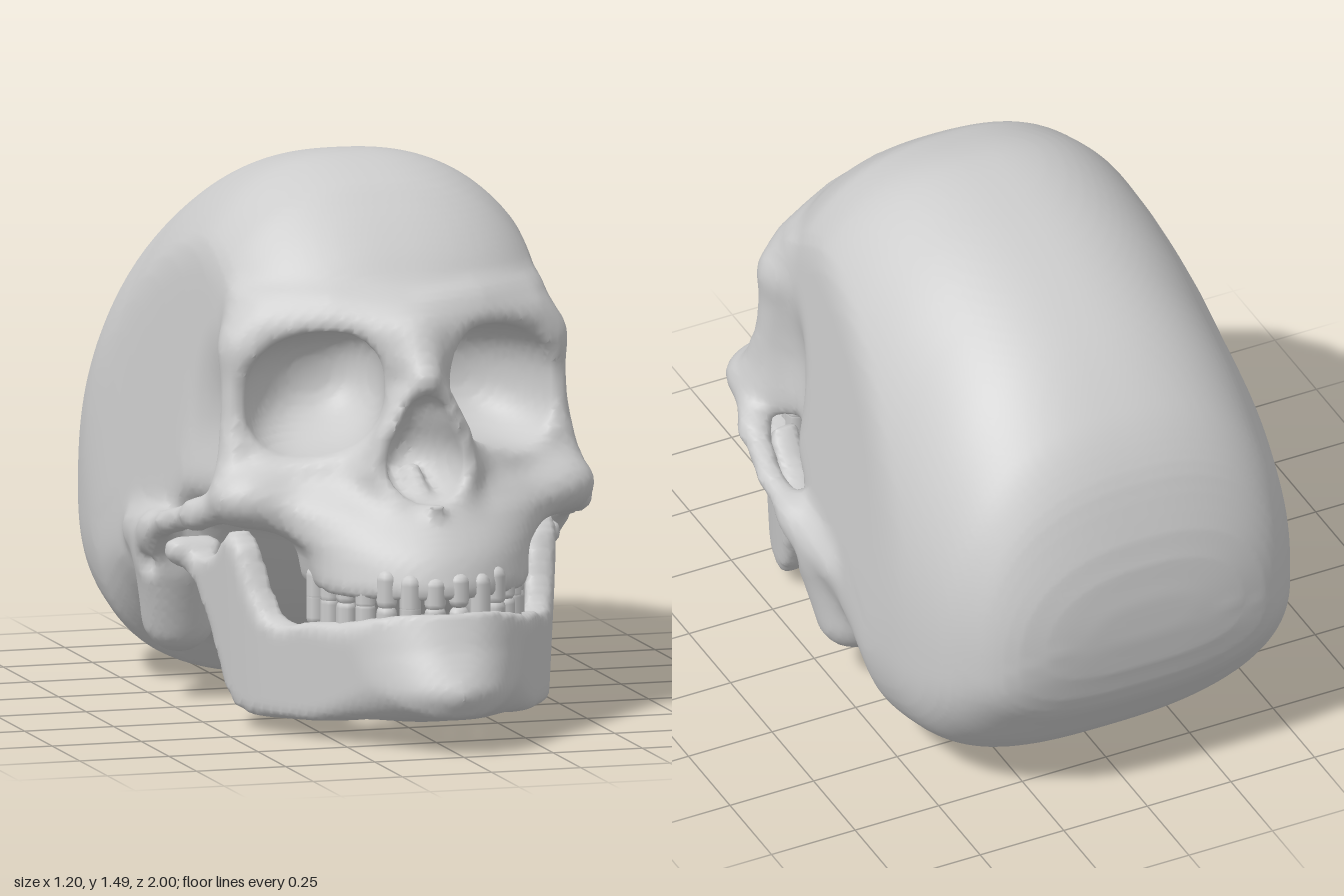
import * as THREE from 'three';

// ---- sculpting helpers: each form is a signed distance, negative inside ----
const smin = (a, b, k) => Math.min(a, b) - Math.max(k - Math.abs(a - b), 0) ** 2 / (4 * k);
const smax = (a, b, k) => -smin(-a, -b, k);
const carve = (a, b, k) => smax(a, -b, k);
const { lerp, smoothstep } = THREE.MathUtils;

// Smooth monotone curve through [t, value] keys
function curve(keys) {
  const last = keys.length - 1;
  const d = keys.slice(1).map((k, i) => (k[1] - keys[i][1]) / (k[0] - keys[i][0]));
  const m = keys.map((k, i) => {
    if (i === 0) return d[0];
    if (i === last) return d[last - 1];
    return d[i - 1] * d[i] <= 0 ? 0 : (2 * d[i - 1] * d[i]) / (d[i - 1] + d[i]);
  });
  return t => {
    if (t <= keys[0][0]) return keys[0][1];
    if (t >= keys[last][0]) return keys[last][1];
    let i = 0;
    while (t > keys[i + 1][0]) i++;
    const h = keys[i + 1][0] - keys[i][0], s = (t - keys[i][0]) / h, r = 1 - s;
    return keys[i][1] * (1 + 2 * s) * r * r + m[i] * h * s * r * r
      + keys[i + 1][1] * s * s * (3 - 2 * s) - m[i + 1] * h * s * s * r;
  };
}

// Round bar along a chain of points
const bar = (r, ...pts) => (x, y, z) => {
  let best = 9;
  for (let i = 1; i < pts.length; i++) {
    const [ax, ay, az] = pts[i - 1], [bx, by, bz] = pts[i];
    const ux = bx - ax, uy = by - ay, uz = bz - az, px = x - ax, py = y - ay, pz = z - az;
    const t = Math.min(1, Math.max(0, (px * ux + py * uy + pz * uz) / (ux * ux + uy * uy + uz * uz)));
    best = Math.min(best, Math.hypot(px - t * ux, py - t * uy, pz - t * uz));
  }
  return best - r;
};

const blob = (cx, cy, cz, rx, ry, rz) => (x, y, z) =>
  (Math.hypot((x - cx) / rx, (y - cy) / ry, (z - cz) / rz) - 1) * Math.min(rx, ry, rz);

// Signed distance to a closed 2D outline
const outline = pts => (u, v) => {
  let best = 9, inside = false;
  pts.forEach(([ax, ay], i) => {
    const [bx, by] = pts[(i + 1) % pts.length];
    const ex = bx - ax, ey = by - ay, px = u - ax, py = v - ay;
    const t = Math.min(1, Math.max(0, (px * ex + py * ey) / (ex * ex + ey * ey)));
    best = Math.min(best, Math.hypot(px - t * ex, py - t * ey));
    if ((ay > v) !== (by > v) && u < ax + (ex * (v - ay)) / ey) inside = !inside;
  });
  return inside ? -best : best;
};

// Turn a distance function into a smooth mesh (surface nets); x is mirrored
function sculpt(form, lo, hi, cell) {
  const n = lo.map((l, i) => Math.ceil((hi[i] - l) / cell) + 1);
  const step = [1, n[0], n[0] * n[1]];
  const val = new Float32Array(n[0] * n[1] * n[2]), vert = new Int32Array(val.length);
  const each = (from, trim, fn) => {
    for (let k = from; k < n[2] - trim; k++)
      for (let j = from; j < n[1] - trim; j++)
        for (let i = from; i < n[0] - trim; i++) fn(i, j, k, i + j * step[1] + k * step[2]);
  };
  each(0, 0, (i, j, k, id) => {
    val[id] = form(Math.abs(lo[0] + i * cell), lo[1] + j * cell, lo[2] + k * cell);
  });
  const pos = [], index = [];
  const offset = c => (c & 1) * step[0] + ((c >> 1) & 1) * step[1] + (c >> 2) * step[2];
  each(0, 1, (i, j, k, id) => {
    let count = 0;
    const sum = [0, 0, 0];
    for (let a = 0; a < 8; a++) for (let axis = 0; axis < 3; axis++) {
      if (a & (1 << axis)) continue;
      const va = val[id + offset(a)], vb = val[id + offset(a) + step[axis]];
      if ((va < 0) === (vb < 0)) continue;
      for (let q = 0; q < 3; q++) sum[q] += (a >> q) & 1;
      sum[axis] += va / (va - vb);
      count++;
    }
    if (!count) return;
    vert[id] = pos.length / 3;
    [i, j, k].forEach((g, q) => pos.push(lo[q] + (g + sum[q] / count) * cell));
  });
  each(1, 1, (i, j, k, id) => {
    for (let axis = 0; axis < 3; axis++) {
      const inside = val[id] < 0;
      if (inside === (val[id + step[axis]] < 0)) continue;
      const u = step[(axis + 1) % 3], v = step[(axis + 2) % 3];
      const [a, b, c, d] = [id - u - v, id - v, id, id - u].map(q => vert[q]);
      index.push(...(inside ? [a, b, c, a, c, d] : [a, c, b, a, d, c]));
    }
  });
  const g = new THREE.BufferGeometry();
  g.setAttribute('position', new THREE.Float32BufferAttribute(pos, 3));
  g.setIndex(index);
  g.computeVertexNormals();
  return g;
}

// ---- braincase: rounded sections along z ----
const topY = curve([[-1, .7], [-.985, .81], [-.95, .92], [-.9, 1.04], [-.8, 1.17], [-.6, 1.32], [-.4, 1.41],
  [-.2, 1.465], [0, 1.49], [.2, 1.445], [.3, 1.38], [.4, 1.29], [.5, 1.17], [.58, 1.08]]);
const baseY = curve([[-1, .54], [-.985, .44], [-.95, .34], [-.9, .27], [-.8, .15], [-.7, .07], [-.6, .03],
  [-.46, 0], [-.4, .04], [-.33, .1], [-.2, .17], [-.08, .27], [.02, .38], [.1, .47], [.25, .53], [.6, .6]]);
const halfW = curve([[-1, .2], [-.985, .32], [-.95, .41], [-.9, .465], [-.8, .525], [-.6, .57], [-.4, .582],
  [-.2, .582], [0, .56], [.2, .52], [.3, .49], [.4, .43], [.5, .28], [.56, .15]]);

function braincase(x, y, z) {
  const top = topY(z), base = baseY(z), w = halfW(z), mid = lerp(base, top, .33);
  const h = y > mid ? top - mid : mid - base, p = y > mid ? 2.4 : 2.7;
  const r = ((x / w) ** p + (Math.abs(y - mid) / h) ** p) ** (1 / p);
  let d = (r - 1) * Math.min(w, h) * .8;
  d = smax(d, x - (.47 - .1 * z - .1 * (y - 1.1)), .02); // flat temples
  return smax(d, Math.max(-1 - z, z - .56), .03);
}

// ---- face: width and front depth at each height ----
const faceW = curve([[.4, .29], [.5, .31], [.55, .37], [.6, .48], [.65, .5], [.72, .485], [.8, .47], [1, .455], [1.15, .42]]);
const faceZ = curve([[.4, .88], [.5, .845], [.6, .765], [.65, .71], [.7, .665], [.8, .62], [.9, .61], [1, .61], [1.08, .58], [1.15, .52]]);

function faceBlock(x, y, z) {
  const sx = Math.sqrt(x * x + .0016) - .04;
  const drop = lerp(2.3 * x * x, .45 * sx + .15 * x * x, smoothstep(y, .47, .66));
  let d = smax((z - faceZ(y) + drop) * .85, x - faceW(y), .05);
  d = smax(d, lerp(.44, .3, smoothstep(y, .5, .62)) - z, .04);
  return smax(d, Math.max(.4 - y, y - 1.15), .04);
}

const brow = bar(.045, [0, 1.07, .55], [.2, 1.11, .455], [.36, 1.09, .385], [.42, 1.03, .36]);
const orbitPillar = bar(.036, [.43, 1.04, .36], [.44, .85, .375], [.465, .7, .41]);
const cheek = blob(.42, .635, .45, .11, .08, .09);
const archFront = bar(.042, [.47, .62, .44], [.53, .575, .3]);
const archBack = bar(.034, [.53, .575, .3], [.562, .53, .14], [.553, .49, 0]);
const archRoot = bar(.045, [.545, .485, 0], [.53, .46, -.2]);
const mastoid = bar(.1, [.475, .38, -.07], [.45, .23, -.13]);
const earCanal = blob(.6, .39, -.03, .06, .03, .03);
const noseBridge = bar(.045, [0, 1.05, .565], [0, .965, .65]);
const noseRim = bar(.03, [.01, .97, .655], [.1, .82, .635], [.12, .72, .63], [.08, .65, .66]);
const noseSpine = bar(.02, [0, .63, .7], [0, .642, .755]);
const noseSeptum = bar(.025, [0, .64, .62], [0, .7, .52]);
const noseHollow = blob(0, .745, .66, .108, .11, .21);
const noseHollowTop = blob(0, .81, .66, .075, .12, .18);
const templeHollow = blob(.57, .8, .22, .15, .26, .13);
const palate = blob(0, .37, .6, .19, .12, .2);

function eyeSocket(x, y, z) {
  const dx = Math.abs(x - .262 - .25 * (z - .5)) / .195;
  const dy = Math.abs(y - .915 + .14 * (x - .265)) / .165;
  const dz = Math.abs(z - .48) / .27;
  return (Math.pow(dx ** 2.4 + dy ** 2.4 + dz ** 2.4, 1 / 2.4) - 1) * .16;
}

function skullForm(x, y, z) {
  let d = smin(braincase(x, y, z), faceBlock(x, y, z), .08);
  d = smin(d, brow(x, y, z), .08);
  d = smin(d, cheek(x, y, z), .06);
  d = carve(d, templeHollow(x, y, z), .05);
  d = smin(d, orbitPillar(x, y, z), .03);
  d = smin(d, smin(archFront(x, y, z), archBack(x, y, z), .03), .03);
  d = smin(d, archRoot(x, y, z), .06);
  d = smin(d, mastoid(x, y, z), .09);
  d = smin(d, Math.min(noseBridge(x, y, z), noseRim(x, y, z)), .08);
  d = carve(d, eyeSocket(x, y, z), .03);
  d = smin(d, noseSpine(x, y, z), .04);
  d = carve(d, smin(noseHollow(x, y, z), noseHollowTop(x, y, z), .03), .015);
  d = smin(d, noseSeptum(x, y, z), .04);
  d = carve(d, palate(x, y, z), .03);
  return carve(d, earCanal(x, y, z), .02);
}

// ---- lower jaw: side outline limited by a V-shaped wall, rounded at the chin ----
const jawSide = outline([[1.005, .15], [.97, .1], [.85, .075], [.6, .05], [.4, .038], [.32, .052], [.27, .11], [.21, .24],
  [.14, .35], [.06, .41], [.07, .46], [.14, .435], [.2, .44], [.26, .465], [.33, .535], [.38, .49], [.43, .38],
  [.47, .32], [.53, .3], [.6, .32], [.75, .335], [.89, .375], [.935, .28], [1.005, .18]]);
const jawW = curve([[.05, .51], [.2, .475], [.33, .45], [.45, .415], [.6, .335], [.8, .225], [.9, .17], [.96, .135],
  [1, .1]]);
const jawKnuckle = bar(.035, [.43, .44, .08], [.52, .44, .08]);

function jawForm(x, y, z) {
  const front = smoothstep(z, .6, .85);
  const outer = jawW(z) + .05 * (y - .2);
  const inner = outer - .082 - .14 * smoothstep(z, .74, .9);
  const shell = smax(jawSide(z + 1.8 * x * x * front, y), (x - outer) * .85, lerp(.03, .1, front));
  return smin(smax(shell, (inner - x) * .85, .02), jawKnuckle(x, y, z), .03);
}

export function createModel() {
  const model = new THREE.Group();
  model.name = 'skullModel';
  const bone = new THREE.MeshStandardMaterial({ color: 0xcccccc });
  bone.name = 'bone';
  const add = (name, geometry, parent = model) => {
    const mesh = new THREE.Mesh(geometry, bone);
    mesh.name = name;
    parent.add(mesh);
    return mesh;
  };

  add('skull', sculpt(skullForm, [-.666, -.06, -1.06], [.666, 1.56, .95], .018));
  add('lowerJaw', sculpt(jawForm, [-.576, -.02, -.02], [.576, .6, 1.06], .016));

  // Two rows of teeth along the dental arch, slightly uneven
  const half = [[.11, .825], [.19, .75], [.245, .66], [.28, .56]];
  const archPath = new THREE.CatmullRomCurve3([
    ...half.map(([x, z]) => new THREE.Vector3(-x, 0, z)).reverse(),
    new THREE.Vector3(0, 0, .85),
    ...half.map(([x, z]) => new THREE.Vector3(x, 0, z))]);
  const toothShape = new THREE.CapsuleGeometry(.029, .06, 4, 8);
  for (const [name, y] of [['upperTeeth', .42], ['lowerTeeth', .345]]) {
    const row = new THREE.Group();
    row.name = name;
    model.add(row);
    archPath.getSpacedPoints(13).forEach((p, i) => {
      const tooth = add('tooth', toothShape, row);
      tooth.position.set(p.x, y + .008 * Math.sin(i * 2.4 + y * 40), p.z);
      tooth.rotation.y = Math.atan2(p.x, p.z - .55);
      tooth.scale.set(1, .88 + .12 * Math.sin(i * 1.7), .9);
    });
  }
  return model;
}
